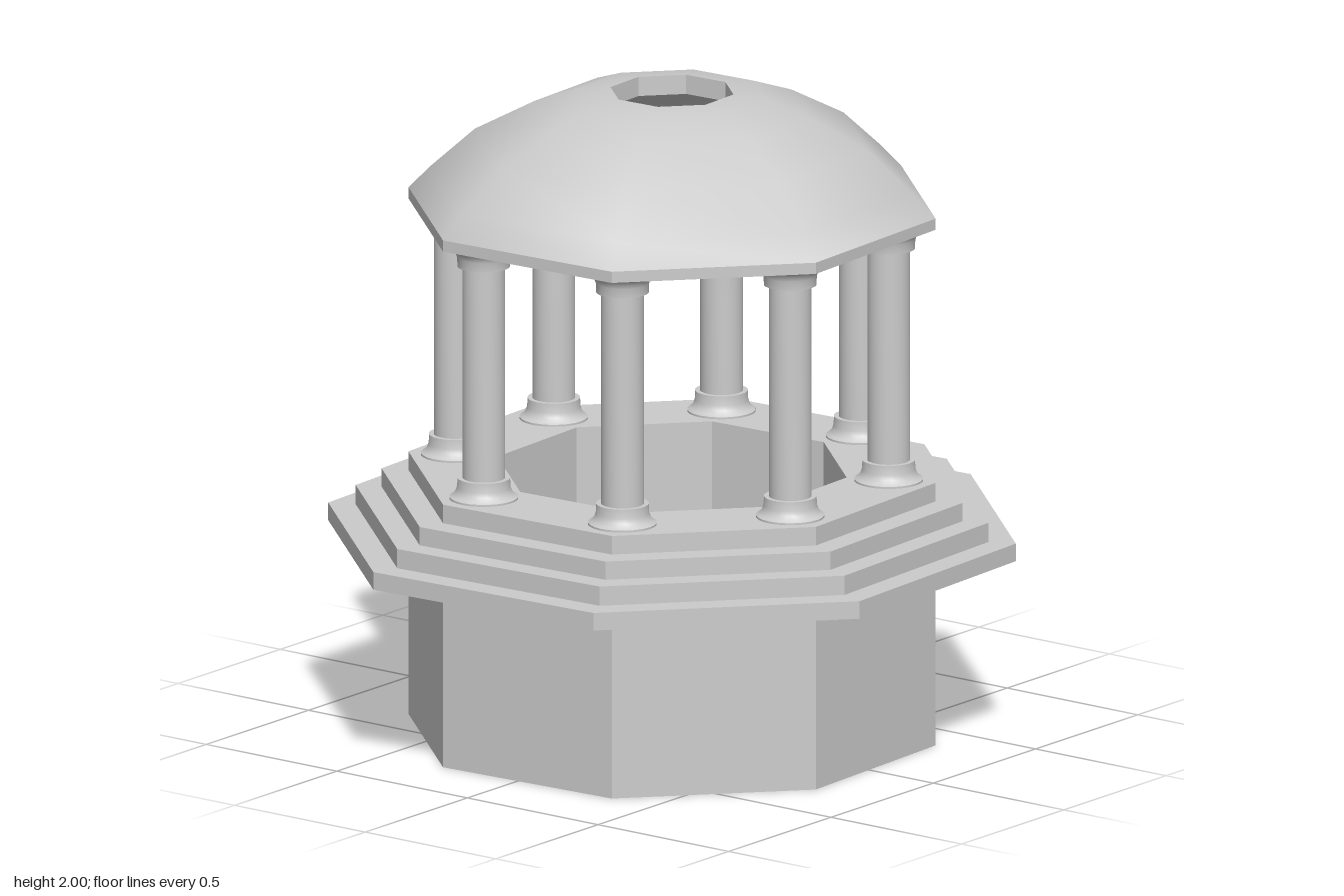
import * as THREE from 'three';
import { toCreasedNormals } from 'three/addons/utils/BufferGeometryUtils.js';

const TURN = THREE.MathUtils.degToRad(25.2); // slight twist of the octagon
const material = new THREE.MeshStandardMaterial({ color: 0xcccccc });

// Revolve a profile of [radius, height] pairs, keeping hard edges sharp
function revolve(name, profile, sides, phi, crease) {
  const points = profile.map(([r, y]) => new THREE.Vector2(r, y));
  let geometry = new THREE.LatheGeometry(points, sides, phi);
  // enlarged while creasing so that close vertices stay distinct
  geometry.scale(100, 100, 100);
  geometry = toCreasedNormals(geometry, THREE.MathUtils.degToRad(crease));
  geometry.scale(0.01, 0.01, 0.01);
  const mesh = new THREE.Mesh(geometry, material);
  mesh.name = name;
  return mesh;
}

export function createModel() {
  const model = new THREE.Group();
  model.name = 'pavilion';

  // Hollow octagonal pedestal with the stepped platform
  const base = [[0.54, 0], [0.815, 0], [0.815, 0.59]];
  const tiers = [[1.063, 0.59, 0.645], [0.978, 0.645, 0.705], [0.898, 0.705, 0.762], [0.815, 0.762, 0.82]];
  for (const [r, low, high] of tiers) base.push([r, low], [r, high]);
  base.push([0.54, 0.82], [0.54, 0]);
  model.add(revolve('steppedBase', base, 8, TURN, 20));

  // Columns with a flared foot and capital, one on each corner
  const foot = [[0, 0.82], [0.104, 0.82], [0.104, 0.826], [0.094, 0.832], [0.086, 0.842], [0.081, 0.856], [0.08, 0.885], [0.065, 0.885]];
  const capital = foot.map(([r, y]) => [r, 2.43 - y]).reverse();
  const columns = new THREE.Group();
  columns.name = 'columns';
  for (let i = 0; i < 8; i++) {
    const a = TURN + (i * Math.PI) / 4;
    const column = revolve('column', [...foot, ...capital], 24, 0, 35);
    column.position.set(0.67 * Math.sin(a), 0, 0.67 * Math.cos(a));
    columns.add(column);
  }
  model.add(columns);

  // Domed roof shell with a flat rim and an open eye at the top
  const outer = [[0.815, 1.61], [0.815, 1.645], [0.745, 1.717], [0.61, 1.84], [0.425, 1.938], [0.29, 1.985], [0.19, 1.995]];
  const inner = [[0.19, 1.935], [0.28, 1.926], [0.405, 1.884], [0.575, 1.792], [0.7, 1.68], [0.765, 1.61]];
  model.add(revolve('domeRoof', [...outer, ...inner, outer[0]], 8, TURN, 40));

  return model;
}
